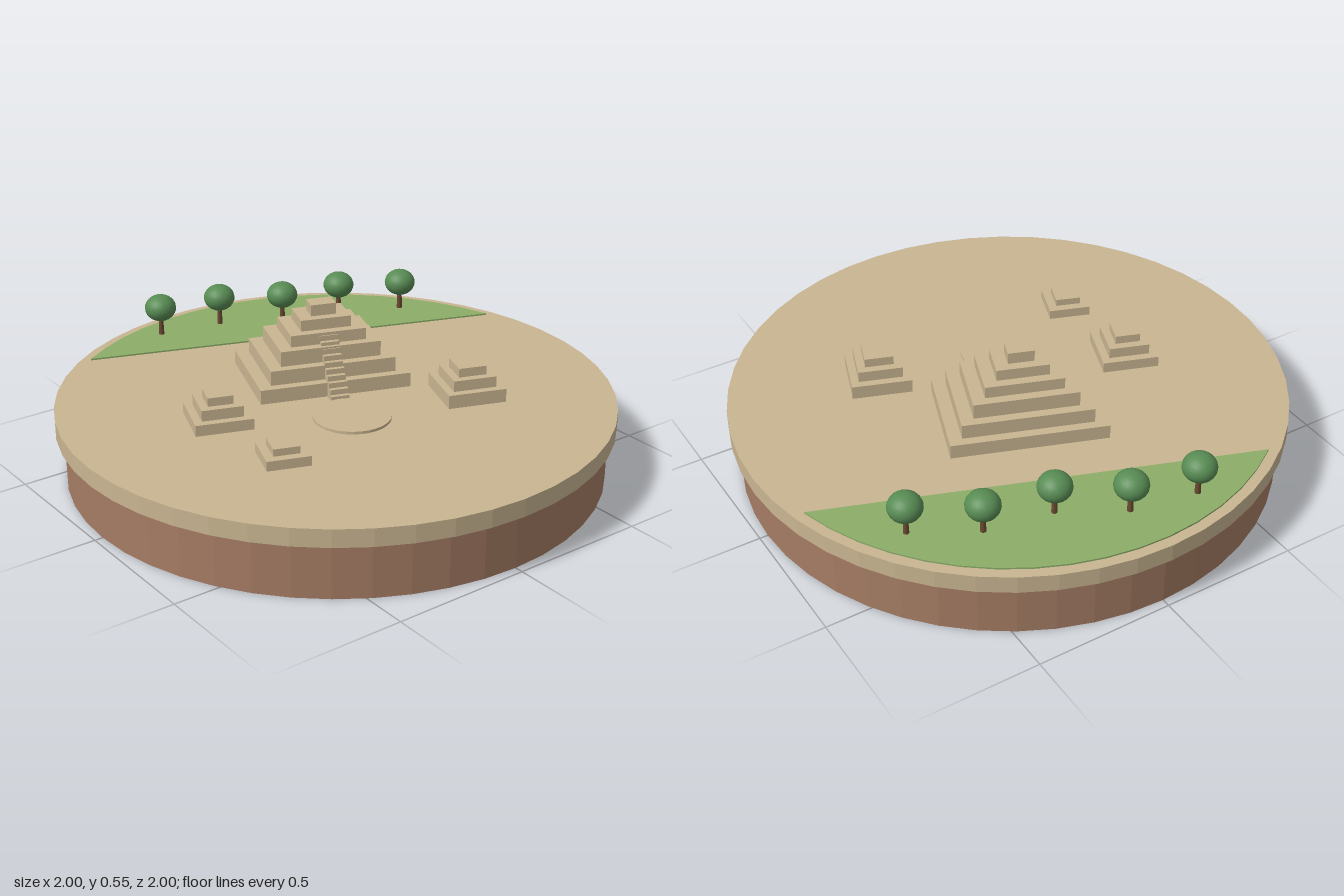
import * as THREE from 'three';

const mat = (name, color, flat = false) => {
  const m = new THREE.MeshStandardMaterial({ color, flatShading: flat });
  m.name = name;
  return m;
};

export function createModel() {
  const sand = mat('sandstone', 0xc9b591, true);
  const earth = mat('earth brown', 0xa57c64, true);
  const grass = mat('grass green', 0x8cae69);
  const leaf = mat('leaf green', 0x588c54);
  const bark = mat('bark brown', 0x6b4a32);

  const GROUND = 0.265;
  const TURN = -THREE.MathUtils.degToRad(20);
  const model = new THREE.Group();
  model.name = 'pyramidSite';

  const add = (parent, name, geometry, material, x = 0, y = 0, z = 0) => {
    const mesh = new THREE.Mesh(geometry, material);
    mesh.name = name;
    mesh.position.set(x, y, z);
    parent.add(mesh);
    return mesh;
  };

  // Round base and overhanging ground slab
  add(model, 'earthBase', new THREE.CylinderGeometry(0.97, 0.97, 0.2, 48), earth, 0, 0.1, 0);
  add(model, 'groundSlab', new THREE.CylinderGeometry(1, 1, 0.065, 48), sand, 0, 0.2325, 0);

  // Grass: a thin circle segment along the back edge
  const lawn = new THREE.Shape();
  const from = THREE.MathUtils.degToRad(14.8);
  const to = THREE.MathUtils.degToRad(125.4);
  for (let i = 0; i <= 16; i++) {
    const a = from + ((to - from) * i) / 16;
    lawn[i ? 'lineTo' : 'moveTo'](0.963 * Math.cos(a), 0.963 * Math.sin(a));
  }
  const lawnGeometry = new THREE.ExtrudeGeometry(lawn, { depth: 0.006, bevelEnabled: false });
  lawnGeometry.rotateX(-Math.PI / 2);
  add(model, 'grass', lawnGeometry, grass, 0, GROUND, 0);

  // Stepped pyramids: each tier is [scale, height]
  const pyramid = (name, x, z, width, depth, tiers) => {
    const group = new THREE.Group();
    group.name = name;
    group.position.set(x, GROUND, z);
    group.rotation.y = TURN;
    let y = 0;
    for (const [scale, height] of tiers) {
      add(group, 'tier', new THREE.BoxGeometry(width * scale, height, depth * scale), sand, 0, y + height / 2, 0);
      y += height;
    }
    model.add(group);
    return group;
  };

  const heights = [0.053, 0.054, 0.056, 0.043, 0.041, 0.042];
  const main = pyramid('mainPyramid', 0.057, -0.166, 0.557, 0.388, heights.map((h, i) => [1 - i / 6, h]));
  pyramid('leftPyramid', 0.375, 0.281, 0.215, 0.215, [[1, 0.05], [0.74, 0.04], [0.48, 0.033]]);
  pyramid('rightPyramid', -0.463, -0.059, 0.205, 0.205, [[1, 0.04], [0.72, 0.039], [0.44, 0.031]]);
  pyramid('smallPyramid', -0.45, 0.313, 0.153, 0.153, [[1, 0.035], [0.6, 0.026]]);

  // Stairway up the front of the main pyramid
  const STEPS = 10;
  const run = 0.016;
  const rise = 0.0195;
  for (let i = 0; i < STEPS; i++) {
    const h = (i + 1) * rise;
    add(main, 'stairStep', new THREE.BoxGeometry(0.067, h, run), sand, 0, h / 2, 0.245 - (i + 0.5) * run);
  }

  // Low round plaza at the foot of the stairs
  add(model, 'plaza', new THREE.CylinderGeometry(0.138, 0.138, 0.01, 32), sand, -0.075, GROUND + 0.005, 0.195);

  // Row of trees on the grass
  const spots = [[-0.217, -0.838], [0.024, -0.795], [0.238, -0.672], [0.482, -0.629], [0.696, -0.506]];
  const trunk = new THREE.CylinderGeometry(0.008, 0.011, 0.09, 8);
  const crown = new THREE.SphereGeometry(0.06, 20, 14).scale(1, 0.85, 1);
  for (const [x, z] of spots) {
    const tree = new THREE.Group();
    tree.name = 'tree';
    tree.position.set(x, GROUND, z);
    add(tree, 'trunk', trunk, bark, 0, 0.045, 0);
    add(tree, 'crown', crown, leaf, 0, 0.115, 0);
    model.add(tree);
  }

  return model;
}
